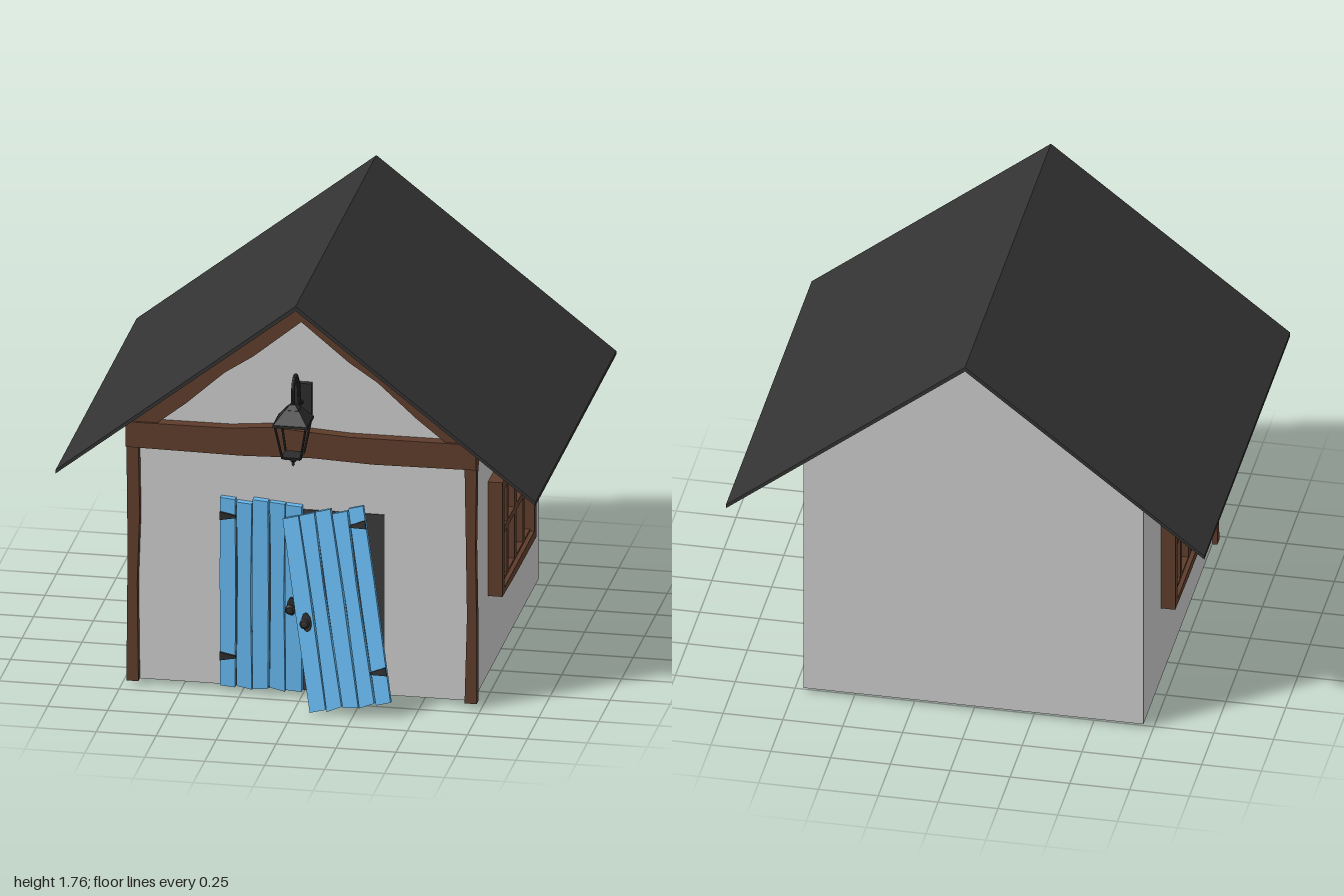
import * as THREE from 'three';

const mat = (color) => new THREE.MeshStandardMaterial({ color, flatShading: true });
const WALL = mat(0xcccccc), ROOF = mat(0x333333), WOOD = mat(0x5e3d2b);
const BLUE = mat(0x66b8ee), DARK = mat(0x3a3a3a), IRON = mat(0x2c2c2c);

function add(parent, name, geometry, material, x = 0, y = 0, z = 0) {
  const mesh = new THREE.Mesh(geometry, material);
  mesh.name = name;
  mesh.position.set(x, y, z);
  parent.add(mesh);
  return mesh;
}

const outline = (pts) => pts.map(([x, y]) => new THREE.Vector2(x, y));
const rect = (x0, y0, x1, y1) => [[x0, y0], [x1, y0], [x1, y1], [x0, y1]];

// Flat board cut from an outline, z0 to z1, with optional holes
function board(pts, z0, z1, holes = []) {
  const shape = new THREE.Shape(outline(pts));
  for (const h of holes) shape.holes.push(new THREE.Path(outline(h)));
  return new THREE.ExtrudeGeometry(shape, { depth: z1 - z0, bevelEnabled: false }).translate(0, 0, z0);
}

// Thin rod between two points
function rod(parent, name, a, b, r) {
  const p = new THREE.Vector3(...a), q = new THREE.Vector3(...b);
  add(parent, name, new THREE.TubeGeometry(new THREE.LineCurve3(p, q), 1, r, 6), IRON);
}

function createWalls() {
  const g = new THREE.Group();
  g.name = 'walls';
  // Front and back walls with gables
  const gable = [[-0.71, 0.02], [0.71, 0.02], [0.71, 1.18], [0, 1.738], [-0.71, 1.18]];
  add(g, 'frontWall', board(gable, 0.6, 0.66), WALL);
  add(g, 'backWall', board(gable, -0.77, -0.71), WALL);
  for (const s of [-1, 1]) {
    add(g, s > 0 ? 'leftWall' : 'rightWall', new THREE.BoxGeometry(0.06, 1.16, 1.31), WALL, s * 0.68, 0.6, -0.055);
  }
  return g;
}

function createTimbers() {
  const g = new THREE.Group();
  g.name = 'timberFrame';
  // Slightly crooked corner posts
  add(g, 'rightPost', board([[-0.73, 0.02], [-0.68, 0.02], [-0.685, 0.45], [-0.675, 0.75], [-0.68, 1.06], [-0.73, 1.06], [-0.725, 0.6]], 0.655, 0.695), WOOD);
  add(g, 'leftPost', board([[0.68, 0.02], [0.73, 0.02], [0.73, 0.4], [0.725, 0.7], [0.73, 1.06], [0.68, 1.06], [0.685, 0.75], [0.69, 0.4]], 0.655, 0.695), WOOD);
  // Cross beam
  add(g, 'beam', board([[-0.73, 1.05], [-0.25, 1.045], [0.05, 1.055], [0.3, 1.045], [0.73, 1.05], [0.73, 1.16], [0.2, 1.158], [-0.13, 1.178], [-0.3, 1.162], [-0.73, 1.16]], 0.645, 0.71), WOOD);
  // Rafters under the roof edge
  for (const s of [-1, 1]) {
    const pts = [[0, 1.736], [0, 1.645], [0.2, 1.48], [0.32, 1.4], [0.48, 1.255], [0.6, 1.16], [0.73, 1.16]];
    add(g, 'rafter', board(pts.map(([x, y]) => [s * x, y]), 0.655, 0.7), WOOD);
  }
  return g;
}

// Eight-pane window, facing local +z
function createWindow() {
  const g = new THREE.Group();
  g.name = 'window';
  const outer = [[-0.375, 0.36], [-0.1, 0.35], [0.375, 0.345], [0.372, 0.6], [0.37, 0.855], [0.1, 0.85], [-0.2, 0.86], [-0.375, 0.86]];
  add(g, 'windowFrame', board(outer, 0, 0.07, [rect(-0.325, 0.385, 0.325, 0.815)]), WOOD);
  const holes = [];
  for (const [a, b] of [[-0.32, -0.18], [-0.152, -0.018], [0.032, 0.168], [0.2, 0.32]]) {
    holes.push(rect(a, 0.395, b, 0.588), rect(a + 0.005, 0.618, b + 0.003, 0.81));
  }
  add(g, 'windowBars', board(rect(-0.33, 0.38, 0.33, 0.82), 0, 0.052, holes), WOOD);
  add(g, 'windowGlass', new THREE.BoxGeometry(0.68, 0.45, 0.02), DARK, 0, 0.6, 0.008);
  return g;
}

// Planked door leaf about its centre; side is -1 with hinges at -x, +1 at +x
function createDoor(side) {
  const g = new THREE.Group();
  g.name = side < 0 ? 'fixedDoor' : 'fallenDoor';
  // [outer edge, inner edge] and end offsets of each plank
  const planks = [[0.17, 0.108, 0.008, 0], [0.102, 0.038, -0.006, 0.004], [0.034, -0.03, 0.01, -0.006], [-0.036, -0.1, 0.002, 0.005], [-0.103, -0.17, -0.004, 0]];
  planks.forEach(([a, b, top, low], i) => {
    const w = i % 2 ? 0.005 : -0.002;
    const pts = [[a, -0.405 + low], [b, -0.41 - low], [b + w, 0], [b, 0.405 + top], [a, 0.41 + top], [a - w, 0.1]];
    add(g, 'plank', board(pts.map(([x, y]) => [side * x, y]), -0.015, 0.013 + (i % 3) * 0.003), BLUE);
  });
  // Back battens
  for (const y of [-0.27, 0.34]) add(g, 'batten', new THREE.BoxGeometry(0.32, 0.05, 0.01), BLUE, 0, y, -0.015);
  // Strap hinges
  for (const y of [-0.275, 0.34]) {
    const pts = [[0.171, y - 0.018], [0.171, y + 0.018], [0.105, y + 0.005], [0.105, y - 0.005]];
    add(g, 'hinge', board(pts.map(([x, v]) => [side * x, v]), 0.01, 0.023), IRON);
  }
  // Knob with oval plate
  const plate = add(g, 'knobPlate', new THREE.CylinderGeometry(0.02, 0.02, 0.008, 12).rotateX(Math.PI / 2), IRON, -side * 0.13, -0.035, 0.021);
  plate.scale.y = 2;
  const profile = outline([[0.008, 0], [0.008, 0.025], [0.02, 0.032], [0.022, 0.042], [0.014, 0.052], [0, 0.053]]);
  add(g, 'knob', new THREE.LatheGeometry(profile, 10).rotateX(Math.PI / 2), IRON, -side * 0.13, -0.035, 0.02);
  return g;
}

function createLantern() {
  const g = new THREE.Group();
  g.name = 'lantern';
  const cz = 0.877, d = Math.SQRT2;
  add(g, 'lanternPlate', new THREE.BoxGeometry(0.08, 0.16, 0.025), IRON, 0, 1.29, 0.672);
  // Curved arm
  const arm = [[1.29, 0.68], [1.3, 0.73], [1.4, 0.765], [1.455, 0.815], [1.455, 0.85], [1.42, cz], [1.33, cz]];
  const curve = new THREE.CatmullRomCurve3(arm.map(([y, z]) => new THREE.Vector3(0, y, z)));
  add(g, 'lanternArm', new THREE.TubeGeometry(curve, 24, 0.008, 8), IRON);
  // Square hood, collar and base
  const square = (top, low, h) => new THREE.CylinderGeometry(top * d, low * d, h, 4).rotateY(Math.PI / 4);
  add(g, 'lanternHood', square(0.03, 0.072, 0.055), IRON, 0, 1.305, cz);
  add(g, 'lanternRim', square(0.073, 0.073, 0.01), IRON, 0, 1.275, cz);
  add(g, 'lanternCollar', square(0.012, 0.028, 0.02), IRON, 0, 1.342, cz);
  add(g, 'lanternBase', square(0.042, 0.036, 0.012), IRON, 0, 1.125, cz);
  // Tapered open cage
  for (const [sx, sz] of [[1, 1], [1, -1], [-1, -1], [-1, 1]]) {
    rod(g, 'cageBar', [sx * 0.065, 1.275, cz + sz * 0.065], [sx * 0.038, 1.125, cz + sz * 0.038], 0.005);
  }
  // Finial
  const profile = outline([[0, 1.078], [0.007, 1.088], [0.005, 1.095], [0.015, 1.105], [0.012, 1.115], [0.022, 1.12]]);
  add(g, 'lanternFinial', new THREE.LatheGeometry(profile, 10), IRON, 0, 0, cz);
  return g;
}

export function createModel() {
  const model = new THREE.Group();
  model.name = 'cottage';
  model.add(createWalls(), createTimbers());

  // Thin pitched roof
  const chevron = [[-1, 0.957], [0, 1.74], [1, 0.957], [1, 0.973], [0, 1.76], [-1, 0.973]];
  add(model, 'roof', board(chevron, -0.945, 0.825), ROOF);

  // A window on each side
  for (const s of [-1, 1]) {
    const win = createWindow();
    win.rotation.y = s * Math.PI / 2;
    win.position.set(s * 0.7, 0, -0.035);
    model.add(win);
  }

  // Dark doorway, one hung leaf and one leaning leaf
  add(model, 'doorway', new THREE.BoxGeometry(0.67, 0.79, 0.01), DARK, 0.005, 0.415, 0.66);
  const fixed = createDoor(-1);
  fixed.position.set(-0.17, 0.43, 0.677);
  const fallen = createDoor(1);
  fallen.position.set(0.167, 0.43, 0.792);
  fallen.rotation.set(-0.185, 0, 0.175);
  model.add(fixed, fallen, createLantern());
  return model;
}
